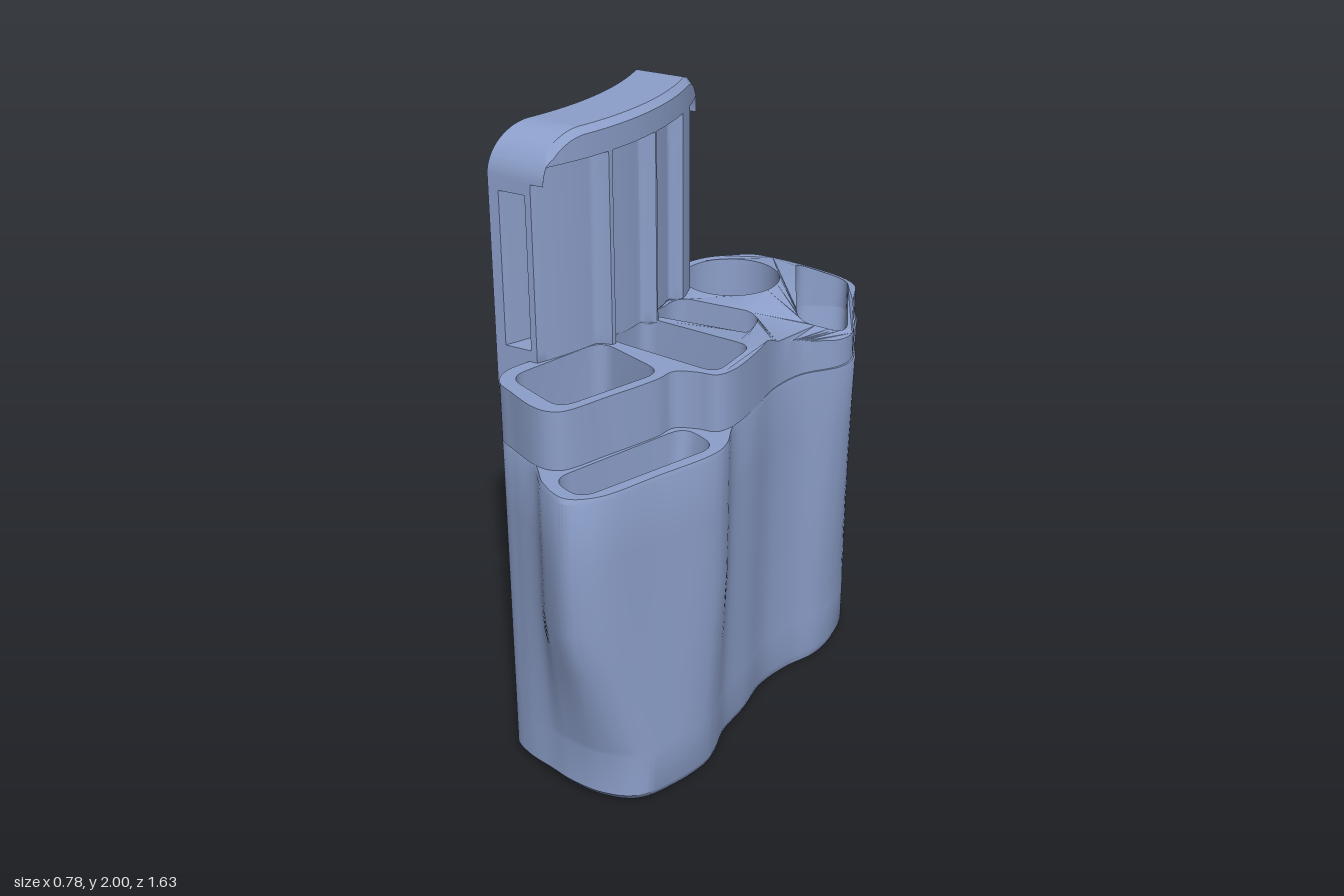
import * as THREE from 'three';
import { toCreasedNormals } from 'three/addons/utils/BufferGeometryUtils.js';

const V2 = (x, z) => new THREE.Vector2(x, z);
const { lerp, clamp, smoothstep } = THREE.MathUtils;

// Smooth closed outline through [x, z] points
function smooth(pts, n = 232) {
  const c = new THREE.CatmullRomCurve3(pts.map(([x, z]) => new THREE.Vector3(x, 0, z)), true);
  return Array.from({ length: n }, (_, i) => { const p = c.getPoint(i / n); return V2(p.x, p.z); });
}
// Polygon with rounded corners
function rounded(corners, r, seg = 6) {
  const c = corners.map(p => V2(...p)), n = c.length, out = [];
  c.forEach((p, i) => {
    const a = c[(i + n - 1) % n].clone().sub(p).setLength(r).add(p);
    const b = c[(i + 1) % n].clone().sub(p).setLength(r).add(p);
    out.push(...new THREE.QuadraticBezierCurve(a, p, b).getPoints(seg));
  });
  return out;
}
const circle = (x, z, r, n = 32) => Array.from({ length: n }, (_, i) =>
  V2(x + r * Math.cos(i / n * 2 * Math.PI), z + r * Math.sin(i / n * 2 * Math.PI)));

// Shape on the ground plane; rotateX(-90deg) brings it to x, z
function planShape(outline, holes = []) {
  const f = pts => pts.map(p => V2(p.x, -p.y));
  const s = new THREE.Shape(f(outline));
  s.holes = holes.map(h => new THREE.Path(f(h)));
  return s;
}
const plate = (outline, holes, y) =>
  new THREE.ShapeGeometry(planShape(outline, holes)).rotateX(-Math.PI / 2).translate(0, y, 0);

// Skin over equal rings of Vector3; optional end faces from a 2D version of the rings
function loft(rings, flat = null, crease = 0.5) {
  const n = rings[0].length, pos = rings.flat().flatMap(p => [p.x, p.y, p.z]), idx = [];
  for (let r = 0; r < rings.length - 1; r++) for (let i = 0; i < n; i++) {
    const a = r * n + i, b = r * n + (i + 1) % n;
    idx.push(a, b, a + n, b, b + n, a + n);
  }
  if (flat) [0, rings.length - 1].forEach((r, k) => {
    for (const [a, b, c] of THREE.ShapeUtils.triangulateShape(rings[r].map(flat), []))
      idx.push(r * n + a, r * n + (k ? b : c), r * n + (k ? c : b));
  });
  const g = new THREE.BufferGeometry();
  g.setAttribute('position', new THREE.Float32BufferAttribute(pos, 3));
  g.setIndex(idx);
  return toCreasedNormals(g, crease);
}
const level = (pts, y) => pts.map(p => new THREE.Vector3(p.x, y, p.y));

export function createModel() {
  const group = new THREE.Group();
  const material = new THREE.MeshStandardMaterial({ color: 0x8da0cb, side: THREE.DoubleSide });
  material.name = 'dusty blue';
  const add = (name, geo) => {
    const m = new THREE.Mesh(geo, material);
    m.name = name;
    group.add(m);
  };

  // Outlines: shared back edge, wide rim and narrower foot
  const back = [[-.2, .64], [-.27, .6], [-.297, .53], [-.25, .37], [-.195, .17], [-.18, 0],
    [-.195, -.17], [-.24, -.29], [-.265, -.42], [-.235, -.53], [-.16, -.61]];
  const rim = smooth([[.1, -.8], [.16, -.82], [.225, -.79], [.308, -.6], [.392, -.41], [.38, -.34],
    [.3, -.23], [.27, -.1], [.28, .06], [.278, .19], [.315, .3], [.317, .37], [.24, .57], [.155, .765],
    [.08, .815], [-.02, .77], [-.1, .69], ...back, [0, -.73]]);
  const foot = smooth([[.08, -.68], [.16, -.692], [.25, -.665], [.315, -.58], [.345, -.46], [.335, -.36],
    [.285, -.24], [.255, -.1], [.268, .06], [.268, .2], [.295, .32], [.3, .39], [.265, .53], [.2, .652],
    [.1, .69], [-.02, .685], [-.1, .665], ...back, [0, -.66]]);
  const upper = smooth([[.1, -.79], [.16, -.81], [.22, -.78], [.298, -.6], [.382, -.41], [.37, -.34],
    [.293, -.23], [.265, -.1], [.278, .06], [.275, .2], [.25, .25], [.19, .262], [.13, .29], [.115, .36],
    [.05, .53], [-.01, .67], [-.05, .69], [-.1, .685], ...back, [0, -.725]]);

  // Pockets: corners, corner radius, drain position; slots shorten towards the floor
  const pockets = [
    { name: 'smallPocket', c: [[-.155, -.2], [.14, -.245], [.17, -.08], [-.15, -.025]], r: .05, d: [.01, -.14] },
    { name: 'middlePocket', c: [[-.148, -.01], [.245, .02], [.24, .235], [-.155, .19]], r: .05, d: [.055, .11] },
    { name: 'largePocket', c: [[-.165, .215], [.1, .31], [-.03, .655], [-.265, .56]], r: .06, d: [-.09, .44] },
    { name: 'frontSlot', c: [[.155, .27], [.295, .33], [.115, .785], [-.01, .735]], r: .06, d: [.14, .535], slot: true },
    { name: 'rearSlot', c: [[.03, -.715], [.19, -.795], [.375, -.39], [.235, -.305]], r: .06, d: [.2, -.545], slot: true },
  ];
  const mix = (a, b, t) => [lerp(a[0], b[0], t), lerp(a[1], b[1], t)];
  const floorY = .08, rimY = 1.12, drainR = .021;
  const drains = [];
  for (const p of pockets) {
    p.top = rounded(p.c, p.r);
    let f = p.c;
    if (p.slot) {
      const [a, b, c, d] = p.c;
      f = [mix(a, d, .29), mix(b, c, .29), mix(c, b, .29), mix(d, a, .29)];
    }
    const low = rounded(f.map(q => mix(q, p.d, .09)), p.r * (p.slot ? .7 : 1));
    add(p.name + 'Wall', loft([level(p.top, rimY), level(low, floorY)]));
    const drain = circle(...p.d, drainR, 20);
    add(p.name + 'Floor', plate(low, [drain], floorY));
    drains.push(drain);
  }

  // Round cup with funnel floor
  const cup = [-.07, -.435], cupTop = circle(...cup, .16, 48);
  add('roundCup', loft([[rimY, .16], [.3, .128], [.2, .05], [.18, .017]]
    .map(([y, r]) => level(circle(...cup, r, 48), y))));
  drains.push(circle(...cup, .017, 20));

  // Drain tubes through the base
  drains.forEach((d, i) => add('drain', loft([level(d, 0), level(d, i === 5 ? .18 : floorY)])));

  // Lower body: front bulge tapers low down, the rest tapers over the full height
  const bodyRings = [0, .012, .035, .18, .2, .35, .5, .67, .9, 1.105, rimY].map(y => rim.map((p, i) => {
    const t = lerp(clamp((y - .2) / .92, 0, 1), clamp((y - .18) / .49, 0, 1), smoothstep(p.y, .05, .35));
    const q = foot[i].clone().lerp(p, t);
    q.multiplyScalar(y === 0 ? .955 : y === .012 ? .975 : y === rimY ? .99 : 1);
    return new THREE.Vector3(q.x, y, q.y);
  }));
  add('lowerBody', loft(bodyRings));
  add('base', plate(foot.map(p => p.clone().multiplyScalar(.955)), drains, 0));
  add('lowerRim', plate(rim.map(p => p.clone().multiplyScalar(.99)),
    [...pockets.map(p => p.top), cupTop], rimY));

  // Upper block, its top falling away from the round cup across the rear slot
  const block = new THREE.ExtrudeGeometry(
    planShape(upper, [...pockets.filter(p => p.name !== 'frontSlot').map(p => p.top), cupTop]),
    { depth: .18, bevelEnabled: false }).rotateX(-Math.PI / 2).translate(0, rimY, 0);
  const bp = block.attributes.position;
  for (let i = 0; i < bp.count; i++) if (bp.getY(i) > 1.2) {
    const x = bp.getX(i), z = bp.getZ(i), d = Math.hypot(x - cup[0], z - cup[1]);
    bp.setY(i, 1.305 - .4 * Math.max(0, d - .22) * clamp((-z - .05) / .2, 0, 1));
  }
  add('upperBlock', toCreasedNormals(block, .5));

  // Curved back panel, swept along z between its two ends
  const bend = z => Math.sqrt(1 - z * z) - 1;
  const topAt = z => {
    const e = clamp(.42 - Math.abs(z - .02), 0, .14);
    return 1.86 + Math.sqrt(Math.max(0, .0196 - (.14 - e) ** 2));
  };
  // Front face: shallow round-cornered channels above the pockets, ribs between them
  const ribs = [[.208, .011], [-.01, .011], [-.24, .04]];
  const frontAt = z => {
    if (z < -.25) {
      const h = Math.sqrt(Math.max(0, .0256 - (z - cup[1]) ** 2));
      return clamp(cup[0] - h - bend(z), -.147, -.1);
    }
    const s = Math.min(...ribs.map(([c, w]) => Math.abs(z - c) - w));
    return -.1 - .045 * Math.sqrt(Math.max(0, 1 - (1 - clamp(s / .025, 0, 1)) ** 2));
  };
  const sweep = (section, z0 = -.4, z1 = .44, n = 160) => loft(Array.from({ length: n + 1 }, (_, i) => {
    const z = (z0 + z1) / 2 - (z1 - z0) / 2 * Math.cos(Math.PI * i / n);
    return section(frontAt(z), topAt(z)).map(([x, y]) => new THREE.Vector3(x + bend(z), y, z));
  }), p => V2(p.x, p.y));
  const slot0 = 1.34, slot1 = 1.82;
  add('panelBracket', sweep(f => [[-.175, .98], [-.29, 1.2], [-.29, slot0], [f, slot0], [f, 1.3], [-.175, 1.25]]));
  add('panelBack', sweep(() => [[-.29, slot0], [-.255, slot0], [-.255, slot1], [-.29, slot1]]));
  add('panelFront', sweep(f => [[-.165, slot0], [f, slot0], [f, slot1], [-.165, slot1]]));
  // Core leaves an open slot at each end of the panel
  add('panelCore', sweep(() => [[-.255, slot0], [-.165, slot0], [-.165, slot1], [-.255, slot1]], -.18, .2, 40));
  add('panelCap', sweep((f, t) => {
    const b = Math.min(1.91, t - .005), c = Math.min(.02, (t - b) / 2);
    return [[-.29, slot1], [f, slot1], [f, b], [-.1, b], [-.1, t - c], [-.1 - c, t], [-.29, t]];
  }));
  return group;
}
